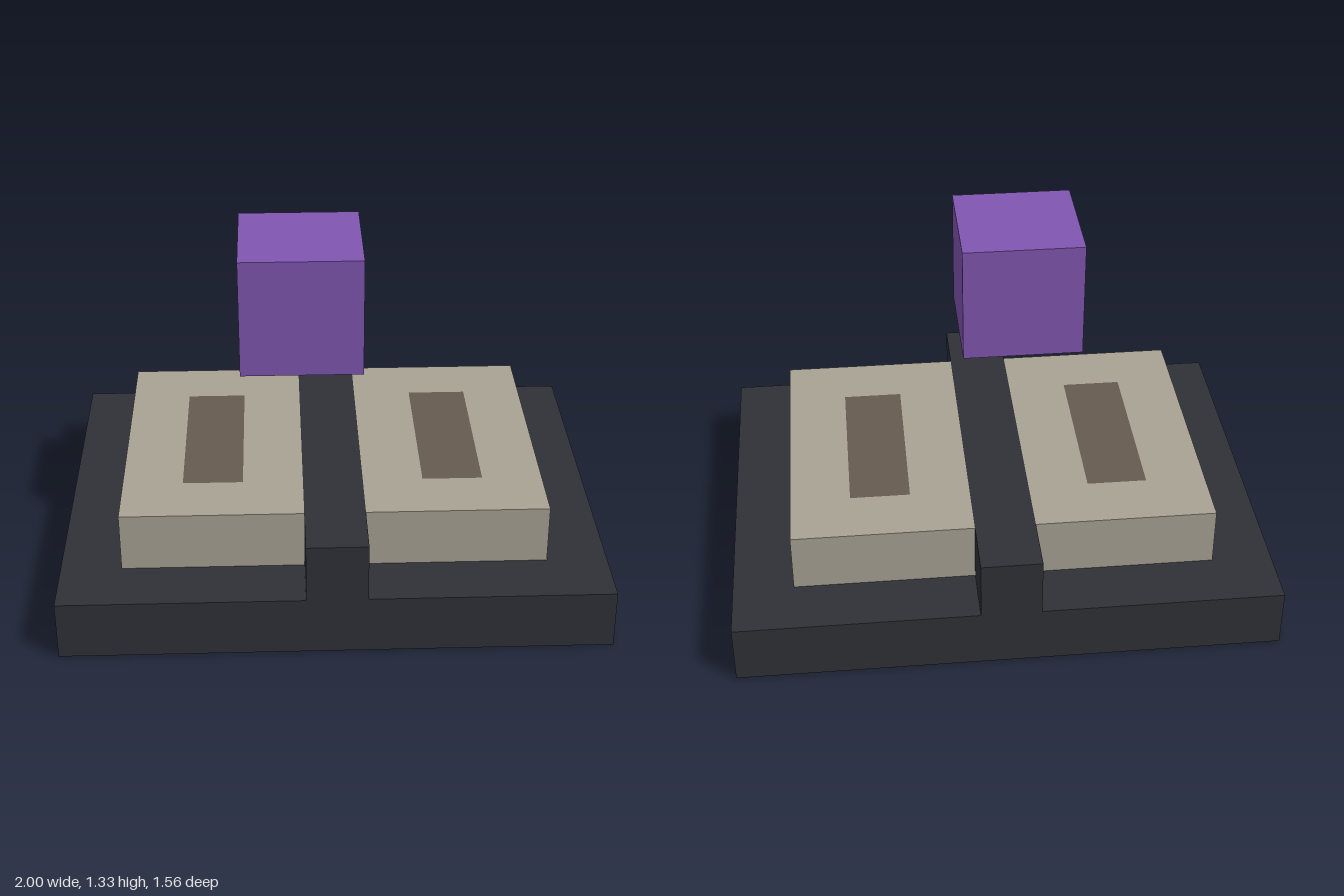
import * as THREE from 'three';

const U = 1 / 9; // block unit: the base is 18 units wide

const material = (color) => new THREE.MeshStandardMaterial({ color, flatShading: true });

// Box given by its minimum corner and size, in block units
function box(name, [x, y, z], [w, h, d], mat) {
  const mesh = new THREE.Mesh(new THREE.BoxGeometry(w * U, h * U, d * U), mat);
  mesh.position.set((x + w / 2) * U, (y + h / 2) * U, (z + d / 2) * U);
  mesh.name = name;
  return mesh;
}

function rectangle(path, w, h) {
  path.moveTo(-w / 2, -h / 2);
  path.lineTo(w / 2, -h / 2);
  path.lineTo(w / 2, h / 2);
  path.lineTo(-w / 2, h / 2);
  path.closePath();
  return path;
}

export function createModel() {
  const model = new THREE.Group();
  model.name = 'slabsWithFloatingCube';
  const dark = material(0x303137);
  const stone = material(0xa8a293);
  const brown = material(0x665b50);
  const purple = material(0x8055b0);

  // Base plate and the rib running front to back
  model.add(box('base', [-9, 0, -7], [18, 2, 14], dark));
  model.add(box('centreRib', [-1, 2, -7], [2, 2, 14], dark));

  // Two slabs, each with a slot filled flush by a brown inlay
  const outline = rectangle(new THREE.Shape(), 6 * U, 10 * U);
  outline.holes.push(rectangle(new THREE.Path(), 2 * U, 6 * U));
  const slabGeometry = new THREE.ExtrudeGeometry(outline, { depth: 2 * U, bevelEnabled: false });
  slabGeometry.rotateX(-Math.PI / 2);
  for (const [side, s] of [['left', 1], ['right', -1]]) {
    const slab = new THREE.Mesh(slabGeometry, stone);
    slab.position.set(s * 4 * U, 2 * U, 0);
    slab.name = side + 'Slab';
    model.add(slab, box(side + 'Inlay', [s * 4 - 1, 2, -3], [2, 2, 6], brown));
  }

  // Cube hovering above the slabs
  model.add(box('floatingCube', [-3, 8, -1], [4, 4, 4], purple));

  return model;
}
